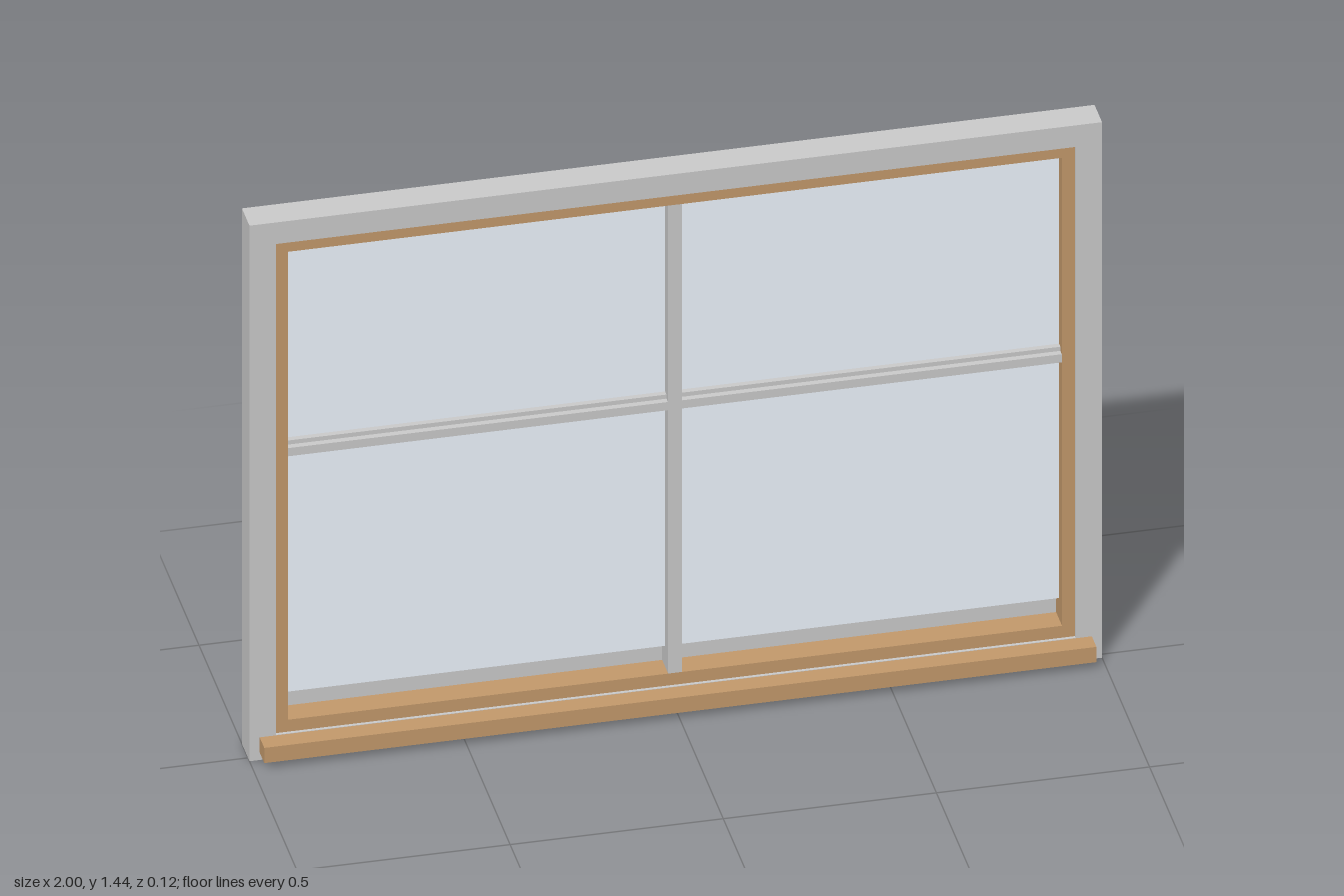
import * as THREE from 'three';

export function createModel() {
  const group = new THREE.Group();
  const grey = new THREE.MeshStandardMaterial({ color: 0xcccccc });
  const wood = new THREE.MeshStandardMaterial({ color: 0xc49a6c });
  const pane = new THREE.MeshStandardMaterial({ color: 0xeef6fe });

  // Box given by its lower and upper bounds on each axis
  function box(name, material, [x0, x1], [y0, y1], [z0, z1]) {
    const mesh = new THREE.Mesh(new THREE.BoxGeometry(x1 - x0, y1 - y0, z1 - z0), material);
    mesh.position.set((x0 + x1) / 2, (y0 + y1) / 2, (z0 + z1) / 2);
    mesh.name = name;
    group.add(mesh);
  }

  const H = 1.442, back = -0.062, front = 0.015;
  const panelFront = -0.054;
  const frameZ = [panelFront, front];
  const trimZ = [panelFront, 0.007];

  // Closed back panel
  box('backPanel', grey, [-1, 1], [0, H], [back, panelFront]);

  // Outer frame: rails between two full-height posts
  box('topRail', grey, [-0.938, 0.938], [1.384, H], frameZ);
  box('bottomRail', grey, [-0.938, 0.938], [0, 0.062], frameZ);

  // Wooden trim inside the frame
  box('topTrim', wood, [-0.908, 0.908], [1.354, 1.384], trimZ);
  box('bottomTrim', wood, [-0.908, 0.908], [0.062, 0.094], trimZ);

  for (const [side, s] of [['left', 1], ['right', -1]]) {
    const span = (a, b) => (s > 0 ? [a, b] : [-b, -a]);
    box(side + 'Post', grey, span(0.938, 1), [0, H], frameZ);
    box(side + 'Trim', wood, span(0.908, 0.938), [0.062, 1.384], trimZ);
    // Glass stops short of the bottom trim
    box(side + 'Glass', pane, span(0.016, 0.908), [0.15, 1.354], [-0.034, -0.024]);
    // Crossbar with a recessed lip along its top
    box(side + 'Crossbar', grey, span(0.016, 0.908), [0.802, 0.824], [panelFront, 0.005]);
    box(side + 'CrossbarLip', grey, span(0.016, 0.908), [0.824, 0.835], [panelFront, -0.01]);
  }

  // Central mullion
  box('mullion', grey, [-0.016, 0.016], [0.094, 1.354], [panelFront, 0.007]);

  // Projecting wooden sill
  box('sill', wood, [-0.976, 0.976], [0.02, 0.061], [front, 0.062]);

  return group;
}
